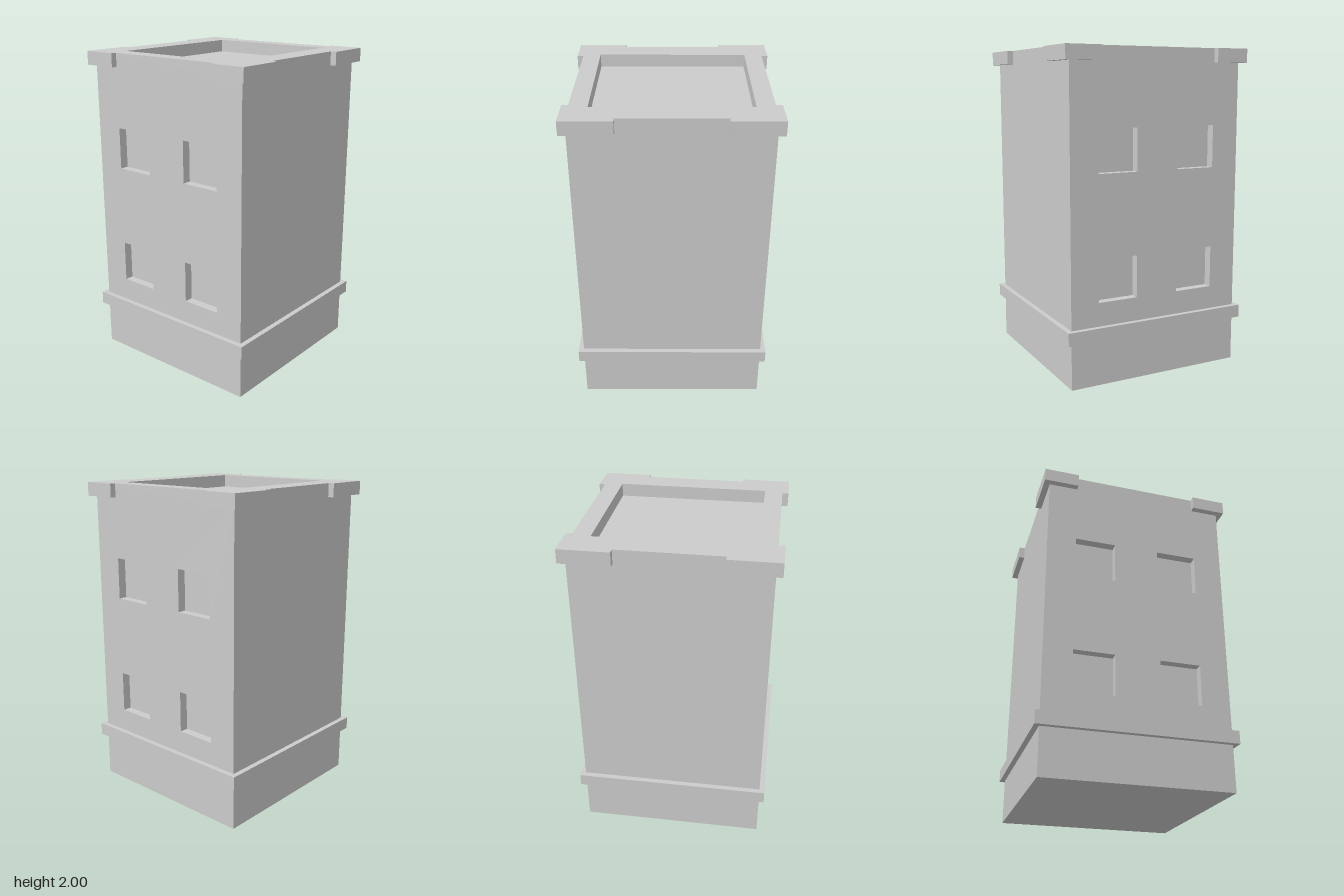
import * as THREE from 'three';

const HALF = 0.575;      // half width of the tower
const ROOF = 1.92;       // floor level of the roof recess
const TOP = 2;
const REVEAL = 0.055;    // depth of the window recesses

const material = new THREE.MeshStandardMaterial({ color: 0xcccccc, flatShading: true });

function add(parent, name, geometry) {
  const mesh = new THREE.Mesh(geometry, material);
  mesh.name = name;
  parent.add(mesh);
  return mesh;
}

// Draws a rectangle into a Shape or Path
function rect(target, x0, y0, x1, y1) {
  target.moveTo(x0, y0);
  target.lineTo(x1, y0);
  target.lineTo(x1, y1);
  target.lineTo(x0, y1);
  target.closePath();
  return target;
}

const extrude = (shape, depth) =>
  new THREE.ExtrudeGeometry(shape, { depth, bevelEnabled: false });

// Extrudes a plan shape upward from y0 to y1
const extrudeUp = (shape, y0, y1) =>
  extrude(shape, y1 - y0).rotateX(-Math.PI / 2).translate(0, y0, 0);

// Rectangular ring in plan, with outer and inner half sizes
function ring(outer, innerX, innerZ) {
  const shape = rect(new THREE.Shape(), -outer, -outer, outer, outer);
  shape.holes.push(rect(new THREE.Path(), -innerX, -innerZ, innerX, innerZ));
  return shape;
}

export function createModel() {
  const group = new THREE.Group();
  group.name = 'tower';

  // Solid core; its front and back faces are the window panes
  const coreDepth = 2 * (HALF - REVEAL);
  add(group, 'core', new THREE.BoxGeometry(2 * HALF, ROOF, coreDepth).translate(0, ROOF / 2, 0));

  // Front and back walls with four window openings each
  const wall = rect(new THREE.Shape(), -HALF, 0, HALF, ROOF);
  for (const x of [-0.395, 0.14]) {
    for (const y of [0.51, 1.275]) {
      wall.holes.push(rect(new THREE.Path(), x, y, x + 0.255, y + 0.26));
    }
  }
  const wallGeometry = extrude(wall, REVEAL).translate(0, 0, HALF - REVEAL);
  add(group, 'frontWall', wallGeometry);
  add(group, 'backWall', wallGeometry).rotation.y = Math.PI;

  // Parapet around the recessed roof
  add(group, 'parapet', extrudeUp(ring(HALF, 0.42, 0.465), ROOF, TOP));

  // Projecting band near the base
  add(group, 'baseBand', extrudeUp(ring(0.607, HALF, HALF), 0.285, 0.365));

  // L-shaped caps wrapping the four top corners
  const out = 0.613, startX = 0.395, startZ = 0.31;
  for (const sx of [-1, 1]) {
    for (const sz of [-1, 1]) {
      const corner = new THREE.Shape([
        [startX, HALF], [startX, out], [out, out],
        [out, startZ], [HALF, startZ], [HALF, HALF],
      ].map(([x, z]) => new THREE.Vector2(sx * x, sz * z)));
      add(group, 'cornerCap', extrudeUp(corner, 1.915, TOP));
    }
  }

  return group;
}
